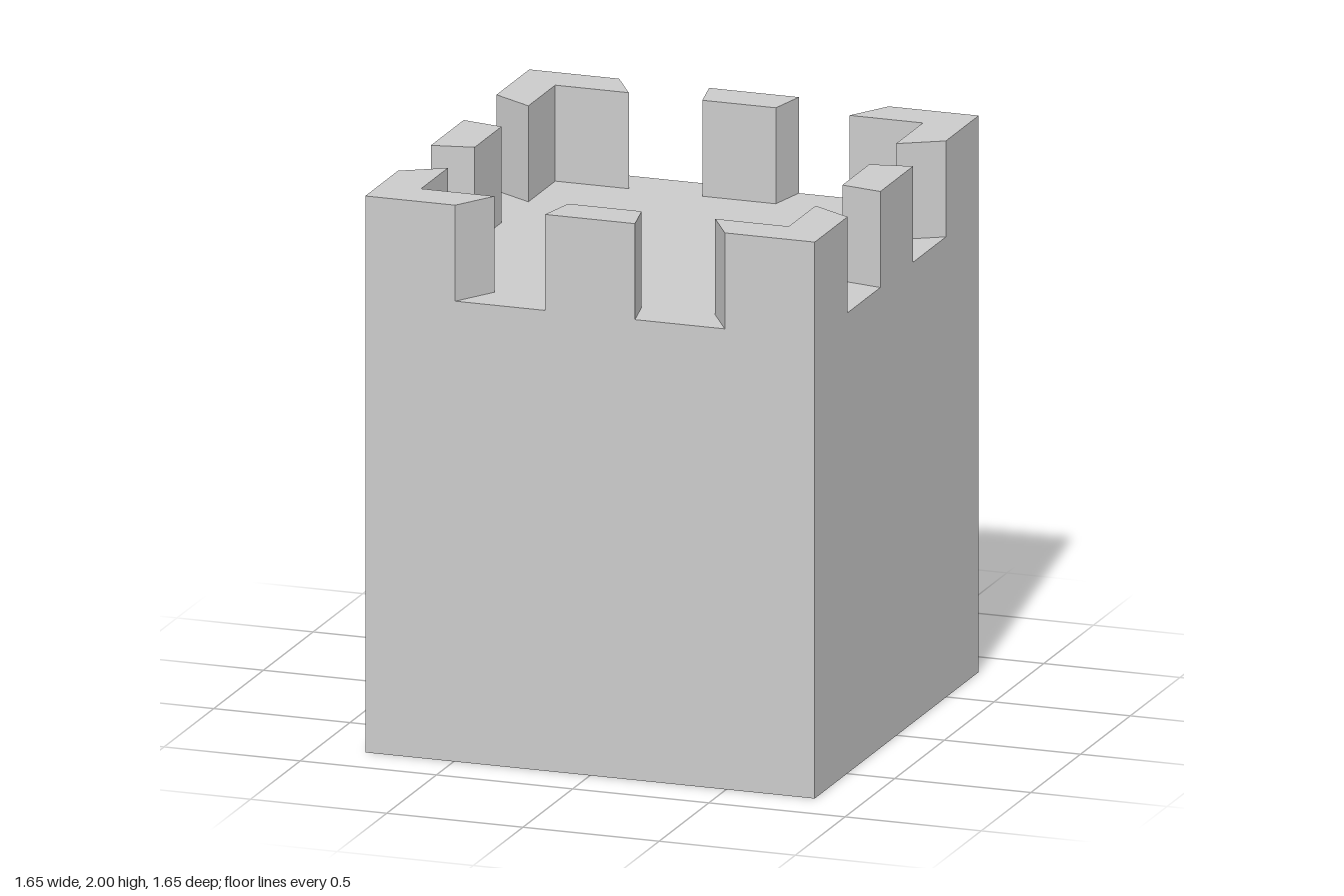
import * as THREE from 'three';

const HALF = 0.825;   // outer half width
const INNER = 0.675;  // inner face of the parapet
const DECK = 1.655;   // roof deck height
const TOP = 2;

const material = new THREE.MeshStandardMaterial({ color: 0xcccccc, flatShading: true });

// Upright prism from a plan outline
function prism(points, height) {
  const shape = new THREE.Shape(points.map(([x, y]) => new THREE.Vector2(x, y)));
  return new THREE.ExtrudeGeometry(shape, { depth: height, bevelEnabled: false }).rotateX(-Math.PI / 2);
}

export function createModel() {
  const group = new THREE.Group();

  // Solid tower body
  const body = new THREE.Mesh(new THREE.BoxGeometry(2 * HALF, DECK, 2 * HALF), material);
  body.name = 'towerBody';
  body.position.y = DECK / 2;
  group.add(body);

  // Battlements, with gap sides cut along lines through the tower centre
  const cornerGeometry = prism([
    [HALF, HALF], [0.495, HALF], [0.405, INNER],
    [INNER, INNER], [INNER, 0.405], [HALF, 0.495],
  ], TOP - DECK);
  const middleGeometry = prism([
    [HALF, -0.165], [HALF, 0.165], [INNER, 0.135], [INNER, -0.135],
  ], TOP - DECK);

  for (let i = 0; i < 4; i++) {
    for (const [name, geometry] of [['cornerMerlon', cornerGeometry], ['middleMerlon', middleGeometry]]) {
      const merlon = new THREE.Mesh(geometry, material);
      merlon.name = name + (i + 1);
      merlon.position.y = DECK;
      merlon.rotation.y = i * Math.PI / 2;
      group.add(merlon);
    }
  }
  return group;
}
